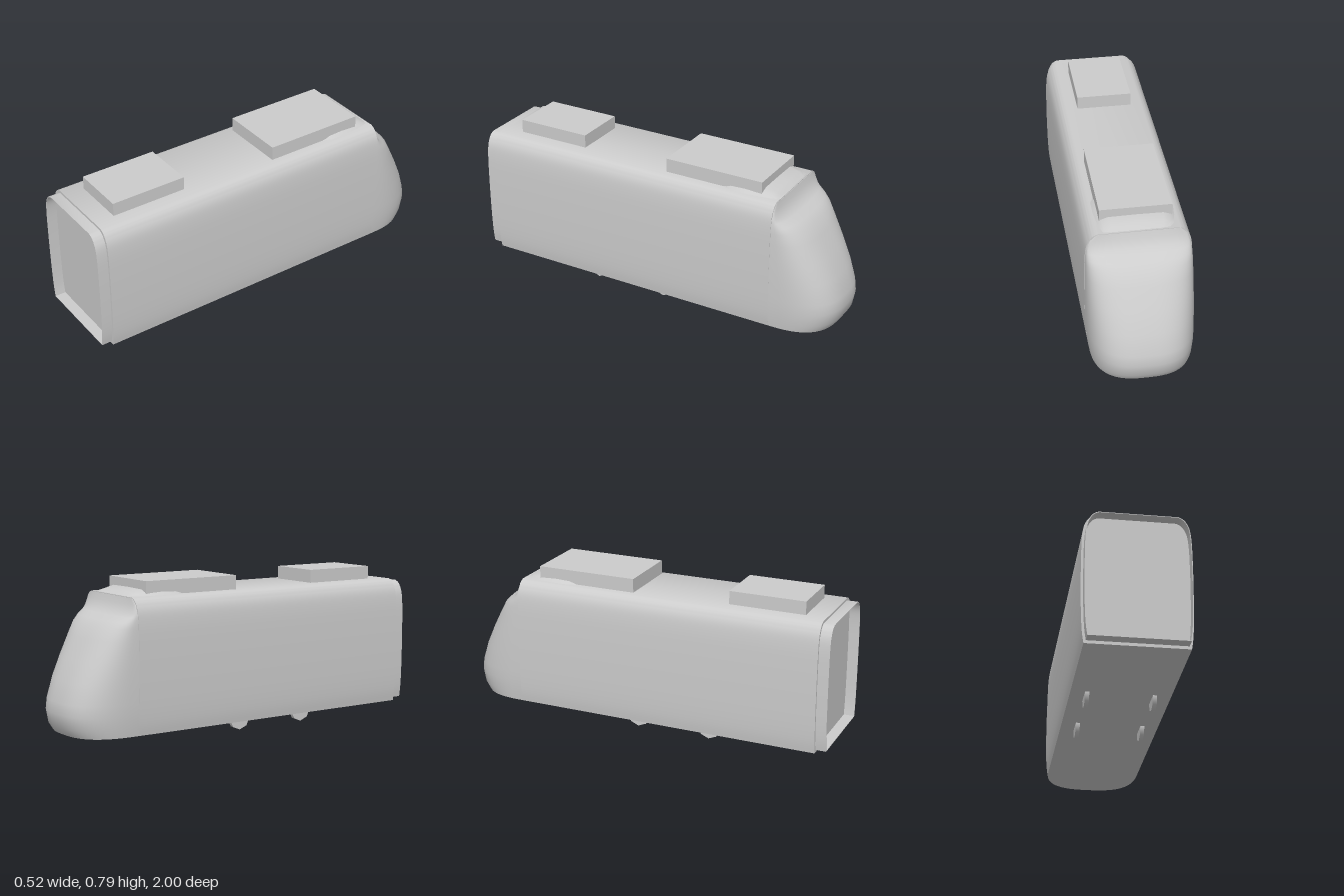
import * as THREE from 'three';
import { toCreasedNormals } from 'three/addons/utils/BufferGeometryUtils.js';

const BOTTOM = 0.058, TOP = 0.723, NOSE_Z = -0.68;

// right half of the car body section, from sill to roof edge
const SIDE = [[0.246, BOTTOM], [0.254, 0.12], [0.259, 0.22], [0.261, 0.38], [0.26, 0.52],
  [0.257, 0.6], [0.25, 0.655], [0.236, 0.69], [0.218, 0.712], [0.195, TOP]];

// section outline, scaled in x and remapped to y0..y1
function section(Type, sx, y0, y1) {
  const k = (y1 - y0) / (TOP - BOTTOM);
  const side = SIDE.map(([x, y]) => new THREE.Vector2(x * sx, y0 + (y - BOTTOM) * k));
  const right = new THREE.SplineCurve(side).getPoints(36);
  const left = right.map(p => new THREE.Vector2(-p.x, p.y)).reverse();
  return new Type([...right, ...left]);
}

function extrude(shape, z0, z1) {
  const g = new THREE.ExtrudeGeometry(shape, { depth: z1 - z0, bevelEnabled: false });
  g.translate(0, 0, z0);
  return toCreasedNormals(g, 0.6);
}

// surface through rows of points
function loft(rows, crease) {
  const n = rows[0].length, pos = rows.flat(2), index = [];
  for (let j = 0; j < rows.length - 1; j++)
    for (let i = 0; i < n - 1; i++) {
      const a = j * n + i, d = a + n;
      index.push(a, a + 1, d + 1, a, d + 1, d);
    }
  const g = new THREE.BufferGeometry();
  g.setAttribute('position', new THREE.Float32BufferAttribute(pos, 3));
  g.setIndex(index);
  return toCreasedNormals(g, crease);
}

// nose: stacked rounded plan slices
function noseGeometry() {
  // height, half width, front z
  const slices = [[BOTTOM, 0.246, -0.96], [0.1, 0.252, -0.988], [0.165, 0.257, -1], [0.22, 0.259, -0.992],
    [0.32, 0.26, -0.957], [0.42, 0.26, -0.908], [0.52, 0.258, -0.852], [0.58, 0.256, -0.815],
    [0.61, 0.254, -0.78], [0.632, 0.251, -0.738], [0.65, 0.248, -0.712], [0.69, 0.232, -0.692], [0.72, 0.2, -0.682]];
  const N = 32, p = 2 / 2.75;
  const ring = ([y, w, zf]) => Array.from({ length: N + 1 }, (_, i) => {
    const t = Math.PI * i / N, c = Math.cos(t), s = Math.max(0, Math.sin(t));
    return [w * Math.sign(c) * Math.abs(c) ** p, y, NOSE_Z + (zf - NOSE_Z) * s ** p];
  });
  const centre = y => Array.from({ length: N + 1 }, () => [0, y, NOSE_Z]);
  return loft([centre(BOTTOM), ...slices.map(ring), centre(0.72)], 0.7);
}

// low roof fairing ahead of the front roof box
function fairingGeometry() {
  // z, half width, crown height
  const stations = [[-0.675, 0.17, 0.721], [-0.64, 0.18, 0.74], [-0.58, 0.19, 0.755], [-0.5, 0.198, 0.752],
    [-0.42, 0.198, 0.747], [-0.38, 0.185, 0.735], [-0.35, 0.17, 0.721]];
  const profile = [[1, 0], [0.88, 0.6], [0.7, 0.95], [0, 1], [-0.7, 0.95], [-0.88, 0.6], [-1, 0]];
  return loft(stations.map(([z, w, h]) =>
    profile.map(([x, y]) => [x * w, 0.72 + (h - 0.72) * y, z])), 0.7);
}

export function createModel() {
  const group = new THREE.Group();
  const grey = new THREE.MeshStandardMaterial({ color: 0xcccccc, side: THREE.DoubleSide });
  grey.name = 'light grey';
  const add = (name, geometry, x = 0, y = 0, z = 0) => {
    const mesh = new THREE.Mesh(geometry, grey);
    mesh.name = name;
    mesh.position.set(x, y, z);
    group.add(mesh);
  };

  add('carBody', extrude(section(THREE.Shape, 1, BOTTOM, TOP), NOSE_Z, 0.945));
  add('nose', noseGeometry());
  add('roofFairing', fairingGeometry());

  // open gangway frame at the coupled end
  const frame = section(THREE.Shape, 0.957, 0.073, 0.711);
  frame.holes.push(section(THREE.Path, 0.945, 0.076, 0.708));
  add('gangwayFrame', extrude(frame, 0.94, 1));

  // roof equipment
  add('frontRoofBox', new THREE.BoxGeometry(0.35, 0.075, 0.53), 0, 0.757, -0.323);
  add('rearRoofBox', new THREE.BoxGeometry(0.284, 0.07, 0.395), 0, 0.756, 0.643);

  // wheels
  const wheel = new THREE.CylinderGeometry(0.06, 0.06, 0.021, 8).rotateZ(Math.PI / 2);
  for (const x of [-0.165, 0.165])
    for (const z of [-0.033, 0.36]) add('wheel', wheel, x, 0.06, z);

  return group;
}
